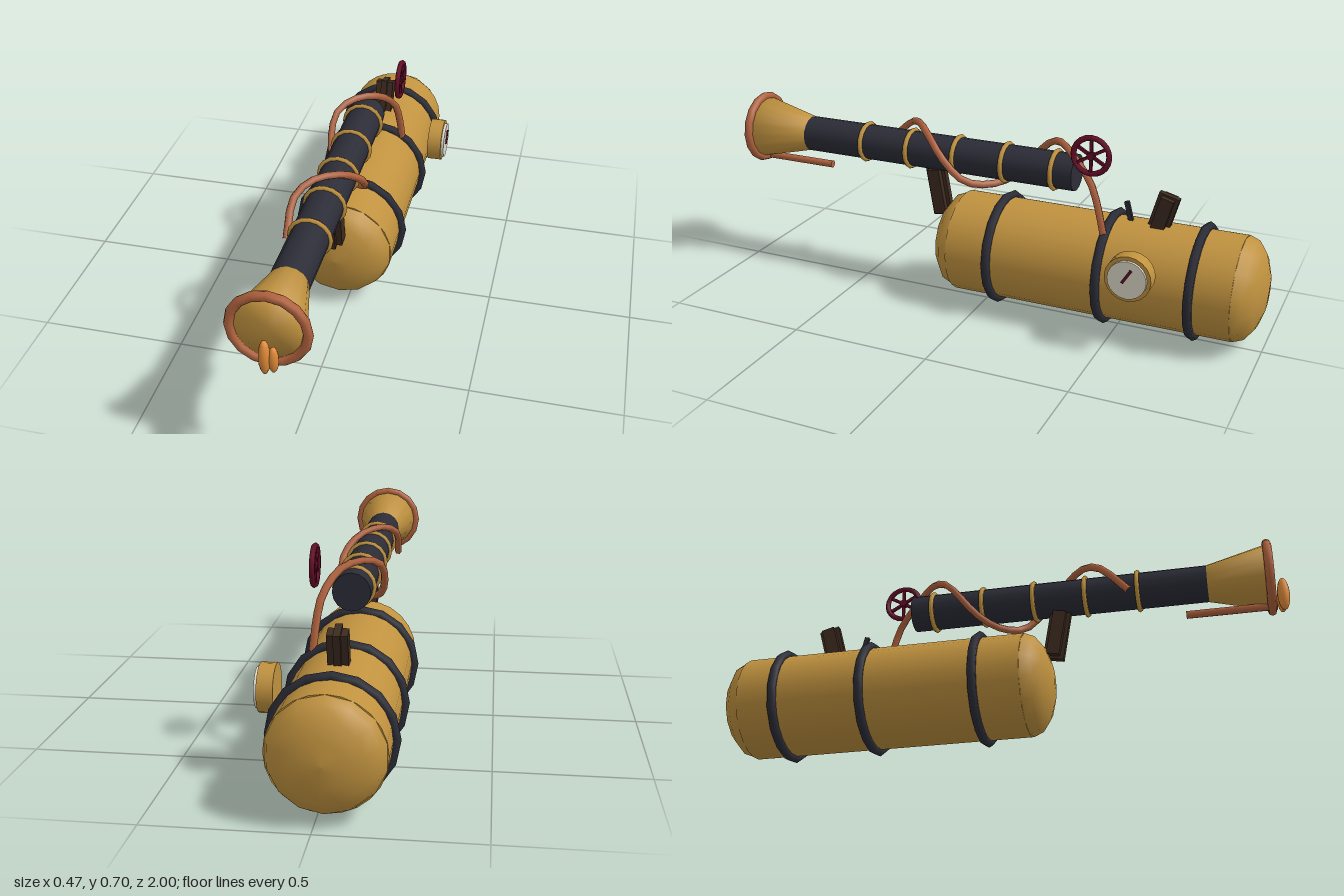
import * as THREE from 'three';

const mat = (name, color, side = THREE.FrontSide) => {
  const m = new THREE.MeshStandardMaterial({ color, side });
  m.name = name;
  return m;
};

export function createModel() {
  const root = new THREE.Group();
  root.name = 'flameLauncher';
  const brass = mat('brass', 0xc0923f);
  const iron = mat('darkIron', 0x2b2c36);
  const copper = mat('copper', 0xb0623e);
  const wood = mat('darkWood', 0x3d2b20);
  const red = mat('darkRed', 0x650c28);
  const white = mat('dialWhite', 0xe0dbcc);
  const orange = mat('flameOrange', 0xdf8a38);

  const X = -0.03;        // shared axis of tank and barrel
  const TANK_Y = 0.207;
  const BARREL_Y = 0.527;

  const add = (name, geo, material, x, y, z, parent = root) => {
    const m = new THREE.Mesh(geo, material);
    m.name = name;
    m.position.set(x, y, z);
    parent.add(m);
    return m;
  };
  // Solid of revolution along z from [radius, z] pairs in rising z
  const lathe = (pts, seg) =>
    new THREE.LatheGeometry(pts.map(([r, z]) => new THREE.Vector2(r, z)), seg).rotateX(Math.PI / 2);
  // Cylinder along z
  const rod = (r, z0, z1, seg, open = false) =>
    new THREE.CylinderGeometry(r, r, z1 - z0, seg, 1, open).rotateX(Math.PI / 2).translate(0, 0, (z0 + z1) / 2);

  // Tank body with shallow domed ends
  add('tankBody', rod(0.181, -0.91, 0.097, 24), brass, X, TANK_Y, 0);
  const dome = [];
  for (let i = 0; i <= 4; i++) {
    const a = (i / 4) * Math.PI / 2;
    dome.push([Math.max(0.18 * Math.cos(a), 0.0001), 0.09 * Math.sin(a)]);
  }
  add('tankFrontDome', lathe(dome, 14), brass, X, TANK_Y, 0.097);
  const backDome = add('tankBackDome', lathe(dome, 14), brass, X, TANK_Y, -0.91);
  backDome.rotation.y = Math.PI;

  // Iron bands around the tank
  for (const z of [-0.062, -0.46, -0.775]) {
    add('tankBand', new THREE.TorusGeometry(0.188, 0.016, 6, 16), iron, X, TANK_Y, z);
  }

  // Barrel and its brass rings
  add('barrel', rod(0.064, -0.322, 0.735, 16), iron, X, BARREL_Y, 0);
  for (const z of [0.491, 0.307, 0.123, -0.062, -0.246]) {
    add('barrelRing', new THREE.TorusGeometry(0.066, 0.009, 6, 16), brass, X, BARREL_Y, z);
  }

  // Flared nozzle with a copper rim
  add('nozzle', lathe([[0.0001, 0.73], [0.064, 0.73], [0.115, 0.94], [0.0001, 0.94]], 16), brass, X, BARREL_Y, 0);
  add('nozzleRim', new THREE.TorusGeometry(0.117, 0.0155, 8, 16), copper, X, BARREL_Y, 0.938);

  // Pilot tube under the nozzle and its flame
  add('pilotTube', rod(0.014, 0.65, 0.955, 8), copper, X, 0.415, 0);
  const blob = new THREE.SphereGeometry(1, 12, 8);
  add('pilotFlame', blob, orange, -0.032, 0.457, 0.979).scale.set(0.018, 0.061, 0.021);
  add('pilotFlame', blob, orange, -0.008, 0.446, 0.972).scale.set(0.016, 0.046, 0.017);

  // Copper fuel pipe winding round the barrel and down to the tank
  const path = new THREE.CatmullRomCurve3([
    [-0.115, 0.49, 0.465], [-0.115, 0.585, 0.37], [-0.07, 0.617, 0.305], [0.01, 0.6, 0.225],
    [0.058, 0.535, 0.145], [0.045, 0.462, 0.07], [-0.03, 0.437, -0.005], [-0.1, 0.46, -0.07],
    [-0.115, 0.585, -0.18], [-0.065, 0.617, -0.245], [0.005, 0.603, -0.315],
    [0.055, 0.53, -0.4], [0.07, 0.44, -0.437], [0.077, 0.35, -0.46],
  ].map((p) => new THREE.Vector3(...p)));
  add('fuelPipe', new THREE.TubeGeometry(path, 32, 0.013, 6), copper, 0, 0, 0);

  // Valve wheel facing sideways
  const wheel = new THREE.Group();
  wheel.name = 'valveWheel';
  wheel.position.set(0.075, 0.633, -0.405);
  wheel.rotation.y = Math.PI / 2;
  root.add(wheel);
  add('wheelRim', new THREE.TorusGeometry(0.062, 0.01, 6, 20), red, 0, 0, 0, wheel);
  for (let i = 0; i < 3; i++) {
    const spoke = add('wheelSpoke', new THREE.BoxGeometry(0.01, 0.122, 0.01), red, 0, 0, 0, wheel);
    spoke.rotation.z = (i * Math.PI) / 3;
  }
  add('wheelHub', rod(0.014, -0.01, 0.01, 8), red, 0, 0, 0, wheel);

  // Pressure gauge on the left side
  const disc = (r, x0, x1) =>
    new THREE.CylinderGeometry(r, r, x1 - x0, 20).rotateZ(Math.PI / 2).translate((x0 + x1) / 2, 0, 0);
  add('gaugeHousing', disc(0.079, 0.167, 0.219), brass, 0, 0.286, -0.59);
  add('gaugeDial', disc(0.066, 0.219, 0.229), white, 0, 0.286, -0.59);
  const needle = add('gaugeNeedle', new THREE.BoxGeometry(0.006, 0.055, 0.01), red, 0.231, 0.3, -0.59);
  needle.rotation.x = -0.55;

  // Grips: a wide block crossed by a narrow, deeper one
  const grip = (name, y, z, tilt, h, extra) => {
    const g = new THREE.Group();
    g.name = name;
    g.position.set(X, y, z);
    g.rotation.x = tilt;
    root.add(g);
    add('gripBlock', new THREE.BoxGeometry(0.065, h, 0.046), wood, 0, 0, 0, g);
    add('gripSpine', new THREE.BoxGeometry(0.023, h + extra, 0.073), wood, 0, 0, 0, g);
  };
  grip('frontGrip', 0.385, 0.2, 0.17, 0.165, 0.02);
  grip('rearGrip', 0.432, -0.632, -0.27, 0.12, 0.014);
  const trigger = add('trigger', new THREE.BoxGeometry(0.014, 0.075, 0.016), iron, X, 0.415, -0.512);
  trigger.rotation.x = 0.26;

  return root;
}
